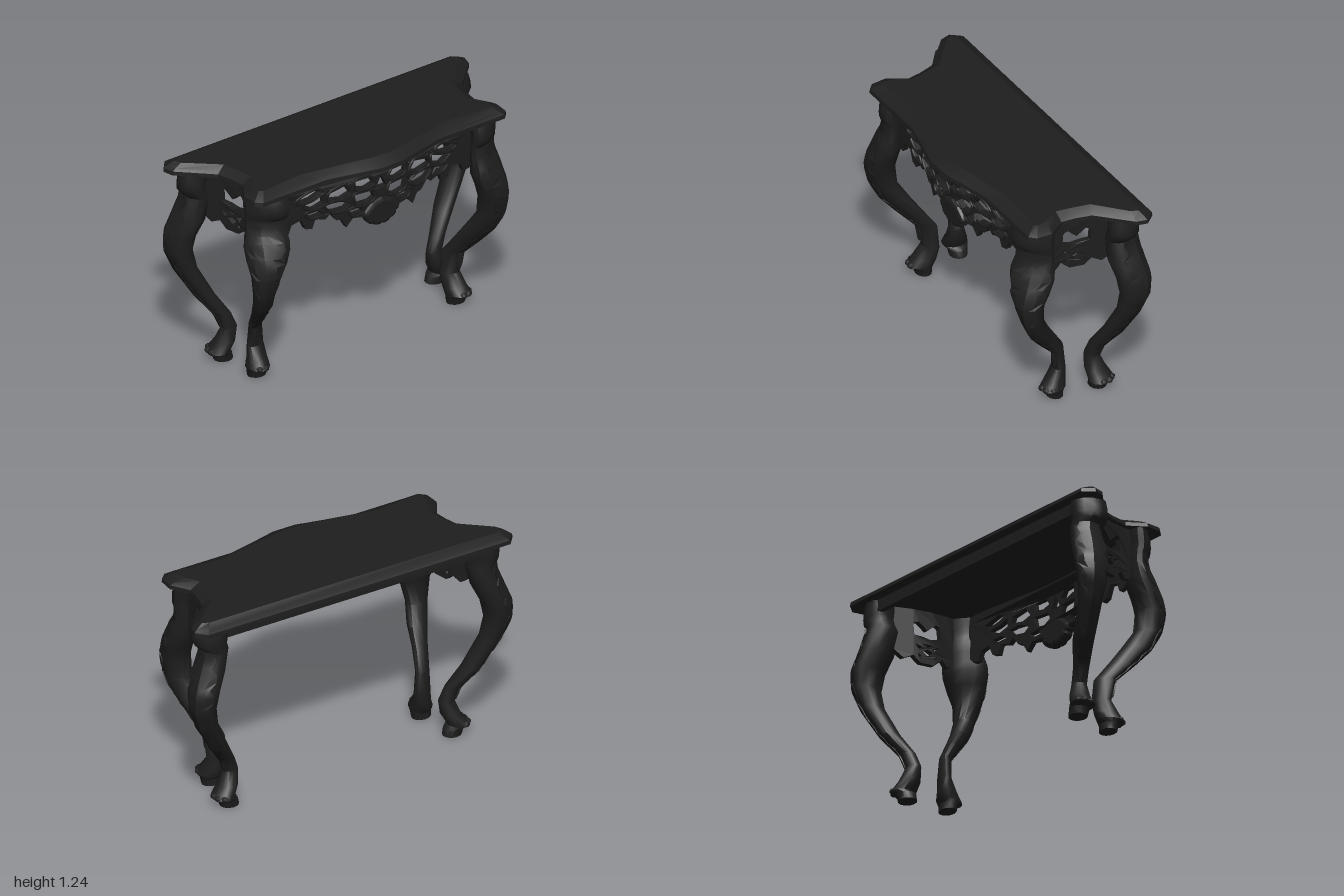
import * as THREE from 'three';
import { toCreasedNormals } from 'three/addons/utils/BufferGeometryUtils.js';

const darkWood = new THREE.MeshStandardMaterial({ color: 0x1e1e1e });
darkWood.name = 'dark wood';

// Closed solid through rings listed bottom to top, each counterclockwise from above
function loft(rings, crease = 0.6) {
  const n = rings[0].length, pos = [], index = [];
  rings.forEach(r => r.forEach(p => pos.push(...p)));
  for (let i = 0; i < rings.length - 1; i++) {
    for (let j = 0; j < n; j++) {
      const a = i * n + j, b = i * n + (j + 1) % n;
      index.push(a, b, b + n, a, b + n, a + n);
    }
  }
  const cap = ring => THREE.ShapeUtils.triangulateShape(ring.map(p => new THREE.Vector2(p[0], -p[2])), []);
  const last = (rings.length - 1) * n;
  cap(rings[0]).forEach(([a, b, c]) => index.push(a, c, b));
  cap(rings[rings.length - 1]).forEach(([a, b, c]) => index.push(last + a, last + b, last + c));
  const geo = new THREE.BufferGeometry();
  geo.setAttribute('position', new THREE.Float32BufferAttribute(pos, 3));
  geo.setIndex(index);
  return toCreasedNormals(geo, crease);
}

// Mirrored copy across x = 0 with the winding kept outward
function mirrored(geo) {
  const out = geo.index ? geo.toNonIndexed() : geo.clone();
  out.scale(-1, 1, 1);
  for (const name of ['position', 'normal']) {
    const a = out.attributes[name];
    for (let i = 0; i < a.count; i += 3) {
      const p = [a.getX(i + 1), a.getY(i + 1), a.getZ(i + 1)];
      a.setXYZ(i + 1, a.getX(i + 2), a.getY(i + 2), a.getZ(i + 2));
      a.setXYZ(i + 2, ...p);
    }
  }
  return out;
}

function shift(geo, rule) {
  const p = geo.attributes.position;
  for (let i = 0; i < p.count; i++) p.setXYZ(i, ...rule(p.getX(i), p.getY(i), p.getZ(i)));
  geo.computeVertexNormals();
  return geo;
}

const vectors = pts => pts.map(p => new THREE.Vector2(p[0], p[1]));
const flip = pts => pts.map(([x, y]) => [-x, y]).reverse();

function pierced(outline, holes, depth) {
  const shape = new THREE.Shape(vectors(outline));
  shape.holes = holes.map(h => new THREE.Path(vectors(h)));
  return new THREE.ExtrudeGeometry(shape, { depth, bevelEnabled: false });
}

// Leg sections: y, centre x, centre z, radius x, radius z, diagonal lean of the oval
const frontRows = [
  [0, .66, .055, .055, .045, 0], [.04, .66, .06, .06, .05, 0], [.06, .665, .07, .067, .078, .1],
  [.10, .655, .05, .06, .065, .2], [.17, .645, .02, .055, .04, .3], [.30, .655, .035, .052, .045, .55],
  [.40, .69, .115, .058, .058, .55], [.50, .72, .19, .07, .068, .4], [.60, .75, .245, .07, .065, .25],
  [.72, .75, .267, .085, .078, 0], [.80, .74, .255, .1, .094, -.25], [.87, .725, .235, .11, .1, -.4],
  [.92, .72, .227, .105, .096, -.5], [.98, .715, .21, .097, .078, -.6], [1.04, .715, .207, .098, .075, -.6],
  [1.07, .717, .222, .1, .087, -.6], [1.10, .717, .224, .1, .089, -.6], [1.14, .717, .22, .1, .09, -.6],
  [1.185, .717, .21, .098, .08, -.6]];
const backRows = [
  [0, .70, -.19, .055, .05, 0], [.04, .71, -.19, .055, .055, 0], [.06, .74, -.19, .063, .073, 0],
  [.12, .70, -.175, .055, .06, 0], [.20, .68, -.165, .045, .04, 0], [.28, .71, -.178, .045, .042, 0],
  [.40, .79, -.23, .052, .06, 0], [.58, .89, -.268, .06, .067, 0], [.70, .925, -.285, .07, .085, 0],
  [.80, .915, -.282, .08, .098, 0], [.90, .875, -.26, .085, .102, 0], [1.03, .835, -.25, .075, .09, 0],
  [1.07, .86, -.25, .087, .093, .1], [1.10, .865, -.25, .09, .095, .2], [1.14, .86, -.25, .09, .095, .2],
  [1.185, .855, -.25, .085, .09, .2]];

function rowAt(rows, y) {
  let i = 0;
  while (i < rows.length - 2 && rows[i + 1][0] < y) i++;
  const t = (y - rows[i][0]) / (rows[i + 1][0] - rows[i][0]);
  return rows[i].map((v, k) => v + (rows[i + 1][k] - v) * t);
}
const onRow = ([y, cx, cz, rx, rz, lean], a, grow = 0) =>
  [cx + Math.cos(a) * (rx + grow), y, cz - Math.sin(a - lean) * (rz + grow)];

const legGeometry = rows => loft(rows.map(r =>
  Array.from({ length: 12 }, (_, j) => onRow(r, j / 12 * Math.PI * 2))), 0.7);

// Jagged carved leaf hugging the outer face of a leg
function leafGeometry(rows, facing, y0, y1, width) {
  const rings = [];
  for (let i = 0; i <= 14; i++) {
    const t = i / 14, row = rowAt(rows, y0 + (y1 - y0) * t);
    const half = width * (0.2 + 0.8 * Math.sin(Math.PI * Math.min(1, t * 0.75 + 0.1))) * (i % 3 ? 1 : 0.65);
    const ring = [];
    for (let j = -2; j <= 2; j++) ring.push(onRow(row, facing + half * j / 2, j ? 0.005 : 0.01));
    for (let j = 2; j >= -2; j--) ring.push(onRow(row, facing + half * j / 2, -0.02));
    rings.push(ring);
  }
  return loft(rings, 0.4);
}

export function createModel() {
  const group = new THREE.Group();
  const add = (name, geo) => {
    const mesh = new THREE.Mesh(geo, darkWood);
    mesh.name = name;
    group.add(mesh);
  };
  const addPair = (name, geo) => {
    add('left' + name, geo);
    add('right' + name, mirrored(geo));
  };

  // Shaped tabletop with a moulded edge
  const outer = [[.07, .378], [.2, .345], [.37, .305], [.8, .305], [.835, .27], [.84, .18], [.775, .08],
    [.785, 0], [.81, -.09], [.985, -.26], [1, -.32], [.95, -.38]];
  const inner = [[.06, .305], [.2, .275], [.5, .222], [.755, .245], [.775, .23], [.765, .17], [.715, .08],
    [.73, 0], [.755, -.11], [.925, -.26], [.94, -.3], [.9, -.318]];
  const topRing = (y, t) => {
    const half = outer.map((p, i) => [p[0] + (inner[i][0] - p[0]) * t, y, p[1] + (inner[i][1] - p[1]) * t]);
    return [...half, ...half.map(([x, h, z]) => [-x, h, z]).reverse()];
  };
  add('tabletop', loft([topRing(1.178, 0), topRing(1.2, .05), topRing(1.213, .35), topRing(1.235, 1)], 0.3));

  // Shallow rail under the back edge
  const rail = new THREE.BoxGeometry(1.6, .07, .03);
  rail.translate(0, 1.146, -.305);
  add('backRail', rail);

  // Cabriole legs with carved leaves and toes
  [['Front', frontRows, -1.0], ['Back', backRows, 0.45]].forEach(([place, rows, facing]) => {
    addPair(place + 'Leg', legGeometry(rows));
    addPair(place + 'KneeLeaf', leafGeometry(rows, facing, .5, 1.04, 1.1));
    addPair(place + 'ShinLeaf', leafGeometry(rows, facing, .2, .55, .7));
    for (let k = -1; k <= 1; k++) {
      const [x, y, z] = onRow(rows[2], facing + k * 0.7, -0.018);
      const toe = new THREE.SphereGeometry(0.022, 7, 5);
      toe.scale(1, 0.8, 1);
      toe.translate(x, y + 0.004, z);
      addPair(place + 'Toe' + (k + 2), toe);
    }
  });

  // Pierced front apron, bowed forward in the middle, hanging from a bent top strip
  const bow = x => .23 + .024 * (1 + Math.cos(Math.PI * Math.min(1, Math.abs(x) / .64)));
  const lower = [[-.66, .95], [-.62, .905], [-.58, .90], [-.56, .95], [-.5, .965], [-.47, .90], [-.43, .89],
    [-.41, .945], [-.35, .925], [-.32, .95], [-.28, .90], [-.25, .895], [-.22, .84], [-.18, .885], [-.11, .87]];
  const upper = Array.from({ length: 17 }, (_, i) => [.66 - i * .0825, 1.135]);
  const holes = [
    [[-.165, 1.1], [-.075, 1.1], [-.05, 1.06], [-.1, 1.045], [-.16, 1.06]],
    [[-.32, 1.075], [-.23, 1.095], [-.195, 1.045], [-.25, 1.025], [-.335, 1.04]],
    [[-.53, 1.09], [-.42, 1.12], [-.38, 1.1], [-.44, 1.075], [-.5, 1.07]],
    [[-.49, 1.045], [-.42, 1.055], [-.36, 1.08], [-.36, 1.03], [-.42, 1.01]],
    [[-.35, 1.005], [-.28, 1.015], [-.2, .985], [-.24, .955], [-.31, .965]],
    [[-.17, 1.02], [-.06, 1.015], [-.045, .975], [-.09, .95], [-.155, .96]],
    [[-.47, .985], [-.4, .99], [-.37, .965], [-.43, .96]],
    [[-.2, .935], [-.13, .935], [-.12, .91], [-.18, .905]]];
  const lace = pierced([...lower, ...flip(lower), ...upper],
    [...holes, ...holes.map(flip), [[0, 1.095], [-.035, 1.02], [.035, 1.02]]], .03);
  add('frontApron', shift(lace, (x, y, z) => [x, y, z + bow(x) - .03]));
  const strip = new THREE.BoxGeometry(1.32, .05, .03, 16, 1, 1);
  add('frontApronStrip', shift(strip, (x, y, z) => [x, y + 1.158, z + bow(x) - .015]));

  // Raised carved rims around the openings
  holes.forEach((hole, i) => {
    const cx = hole.reduce((s, p) => s + p[0], 0) / hole.length;
    const cy = hole.reduce((s, p) => s + p[1], 0) / hole.length;
    const rim = hole.map(([x, y]) => {
      const rx = x + Math.sign(x - cx) * .007;
      return new THREE.Vector3(rx, y + Math.sign(y - cy) * .007, bow(rx));
    });
    addPair('ApronRim' + (i + 1), new THREE.TubeGeometry(new THREE.CatmullRomCurve3(rim, true), 20, .008, 5, true));
  });

  // Scallop shell under the middle of the front apron
  const shell = [];
  for (let i = 0; i <= 24; i++) {
    const a = Math.PI * (1 + i / 24), r = 1 - .06 * (i % 4 === 0);
    shell.push([Math.cos(a) * .12 * r, .9 + Math.sin(a) * .105 * r]);
  }
  shell.push([.06, .945], [0, .96], [-.06, .945]);
  const shellGeo = new THREE.ExtrudeGeometry(new THREE.Shape(vectors(shell)),
    { depth: .025, bevelThickness: .02, bevelSize: .02, bevelOffset: -.02, bevelSegments: 2 });
  shellGeo.translate(0, 0, .25);
  add('apronShell', shellGeo);

  // Pierced side aprons between the front and back legs
  const sideOutline = [[-.17, .93], [-.13, .89], [-.1, .88], [-.07, .915], [-.02, .87], [.06, .87], [.1, .91],
    [.15, .885], [.2, .93], [.2, 1.183], [.1, 1.183], [0, 1.183], [-.1, 1.183], [-.17, 1.183]];
  const sideHoles = [
    [[-.06, 1.03], [-.055, 1.1], [-.03, 1.11], [.02, 1.065], [.07, 1.11], [.1, 1.1], [.095, 1.03], [.05, 1.025], [0, 1.015]],
    [[-.05, .98], [-.01, .965], [-.03, .945]], [[.09, .98], [.07, .945], [.05, .965]],
    [[-.015, .985], [.055, .985], [.02, .97]],
    [[-.01, .94], [.02, .955], [.05, .94], [.02, .915]],
    [[-.035, .925], [-.015, .915], [-.03, .9]], [[.055, .915], [.075, .925], [.07, .9]]];
  const sideApron = pierced(sideOutline, sideHoles, .03);
  sideApron.rotateY(Math.PI / 2);
  addPair('SideApron', shift(sideApron, (x, y, z) => [x + .73 - .2 * z + .8 * z * z, y, z]));

  return group;
}
